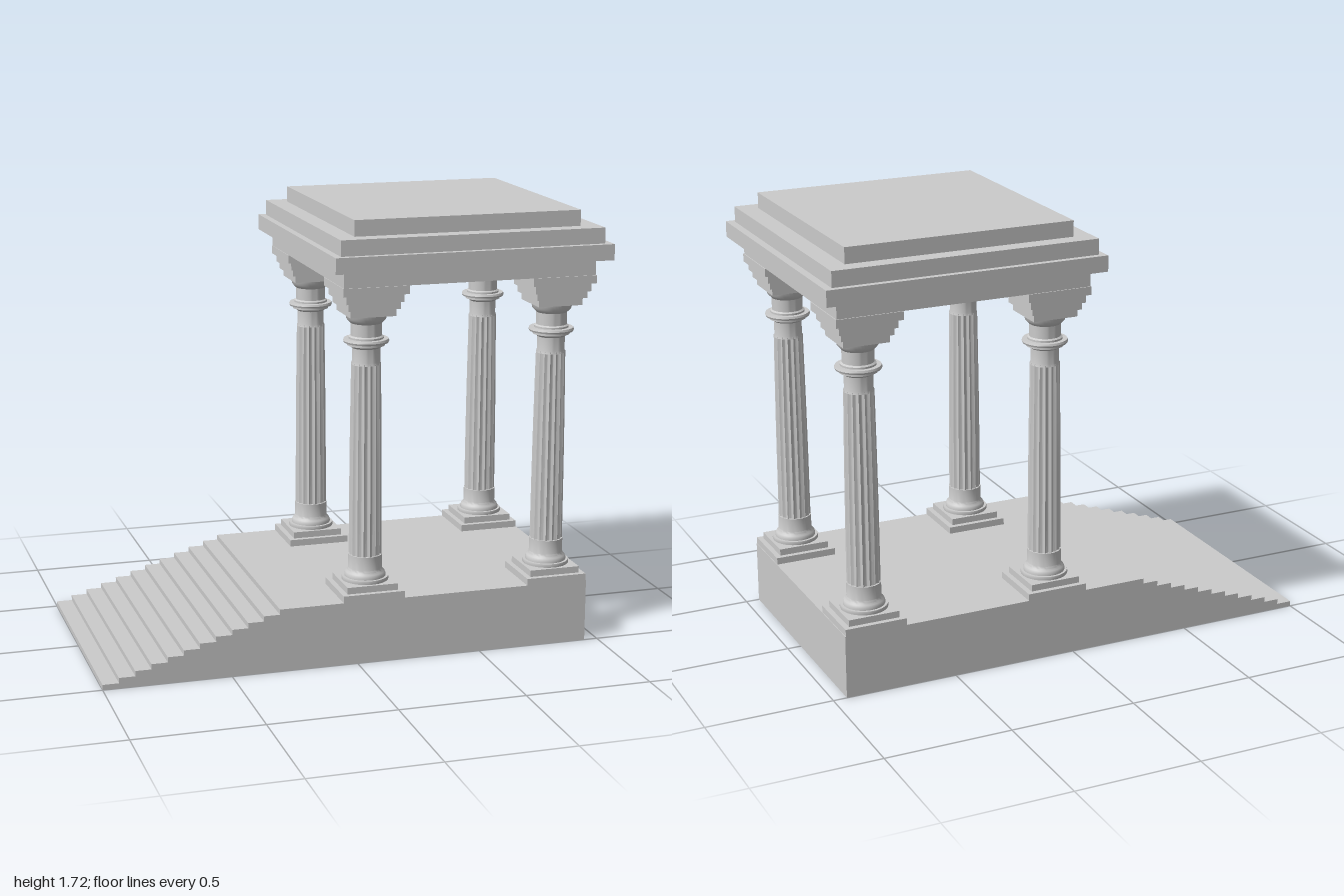
import * as THREE from 'three';
import { toCreasedNormals } from 'three/addons/utils/BufferGeometryUtils.js';

const material = new THREE.MeshStandardMaterial({ color: 0xcccccc });
const CX = 0.4435; // centre of the pavilion along x
const OFFSET = 0.377; // column distance from that centre

function add(parent, name, geometry) {
  const mesh = new THREE.Mesh(geometry, material);
  mesh.name = name;
  parent.add(mesh);
  return mesh;
}

// Box given by its limits in x and y, and its half depth
function slab(parent, name, x0, x1, y0, y1, halfZ) {
  const mesh = add(parent, name, new THREE.BoxGeometry(x1 - x0, y1 - y0, halfZ * 2));
  mesh.position.set((x0 + x1) / 2, (y0 + y1) / 2, 0);
}

function turned(profile) {
  const points = profile.map(([r, y]) => new THREE.Vector2(r, y));
  return toCreasedNormals(new THREE.LatheGeometry(points, 40), 0.6);
}

// Tapered shaft with concave flutes cut into its surface
function flutedShaft(y0, y1, r0, r1, flutes) {
  const perFlute = 6;
  const geometry = new THREE.CylinderGeometry(1, 1, y1 - y0, flutes * perFlute, 6, true);
  geometry.translate(0, (y0 + y1) / 2, 0);
  const p = geometry.attributes.position;
  for (let i = 0; i < p.count; i++) {
    const t = (p.getY(i) - y0) / (y1 - y0);
    const angle = Math.atan2(p.getZ(i), p.getX(i));
    const radius = r0 + (r1 - r0) * t + 0.0015 * Math.sin(Math.PI * t);
    const r = radius - 0.007 * Math.abs(Math.sin(angle * flutes / 2));
    p.setXYZ(i, r * Math.cos(angle), p.getY(i), r * Math.sin(angle));
  }
  return toCreasedNormals(geometry, 0.7);
}

function createColumn() {
  const column = new THREE.Group();
  column.name = 'column';

  // Square plinth steps
  slab(column, 'plinth', -0.123, 0.123, 0.25, 0.277, 0.123);
  slab(column, 'plinthStep', -0.102, 0.102, 0.277, 0.303, 0.102);

  // Round base mouldings and lower collar
  add(column, 'columnBase', turned([
    [0, 0.3], [0.09, 0.3], [0.092, 0.308], [0.09, 0.317], [0.08, 0.317],
    [0.08, 0.325], [0.076, 0.335], [0.069, 0.341], [0.066, 0.35],
    [0.066, 0.405], [0, 0.405],
  ]));

  add(column, 'shaft', flutedShaft(0.4, 1.165, 0.064, 0.057, 16));

  // Upper collar, projecting ring and neck
  add(column, 'neck', turned([
    [0, 1.158], [0.057, 1.158], [0.054, 1.17], [0.054, 1.222], [0.062, 1.228],
    [0.072, 1.232], [0.072, 1.243], [0.085, 1.243], [0.088, 1.25],
    [0.085, 1.258], [0.067, 1.258], [0.067, 1.265], [0.06, 1.27],
    [0.06, 1.318], [0.066, 1.324], [0.076, 1.335], [0.08, 1.356], [0, 1.356],
  ]));

  // Square capital, widening towards the roof
  const capital = [[0.09, 1.354], [0.103, 1.383], [0.114, 1.411], [0.129, 1.443]];
  capital.forEach(([half, y], i) => {
    const top = i < 3 ? capital[i + 1][1] : 1.475;
    slab(column, 'capitalStep', -half, half, y, top, half);
  });
  return column;
}

export function createModel() {
  const model = new THREE.Group();
  model.name = 'pavilion';

  slab(model, 'podium', -0.06, 0.946, 0, 0.25, 0.5);

  // Stairs of stacked slabs, each shorter than the one below
  const stairs = new THREE.Group();
  stairs.name = 'stairs';
  model.add(stairs);
  const count = 12;
  const rise = 0.25 / count;
  for (let i = 0; i < count; i++) {
    slab(stairs, 'step', -1 + i * 0.0627, -0.06, i * rise, (i + 1) * rise, 0.5);
  }

  // Four corner columns
  const column = createColumn();
  for (const sx of [-1, 1]) {
    for (const sz of [-1, 1]) {
      const copy = column.clone();
      copy.position.set(CX + sx * OFFSET, 0, sz * OFFSET);
      model.add(copy);
    }
  }

  // Stepped roof
  const roof = new THREE.Group();
  roof.name = 'roof';
  model.add(roof);
  slab(roof, 'architrave', -0.06, 0.946, 1.475, 1.538, 0.502);
  slab(roof, 'cornice', -0.107, 1, 1.538, 1.6, 0.551);
  slab(roof, 'upperCornice', -0.08, 0.97, 1.6, 1.661, 0.527);
  slab(roof, 'roofCap', -0.008, 0.895, 1.661, 1.723, 0.462);

  return model;
}
